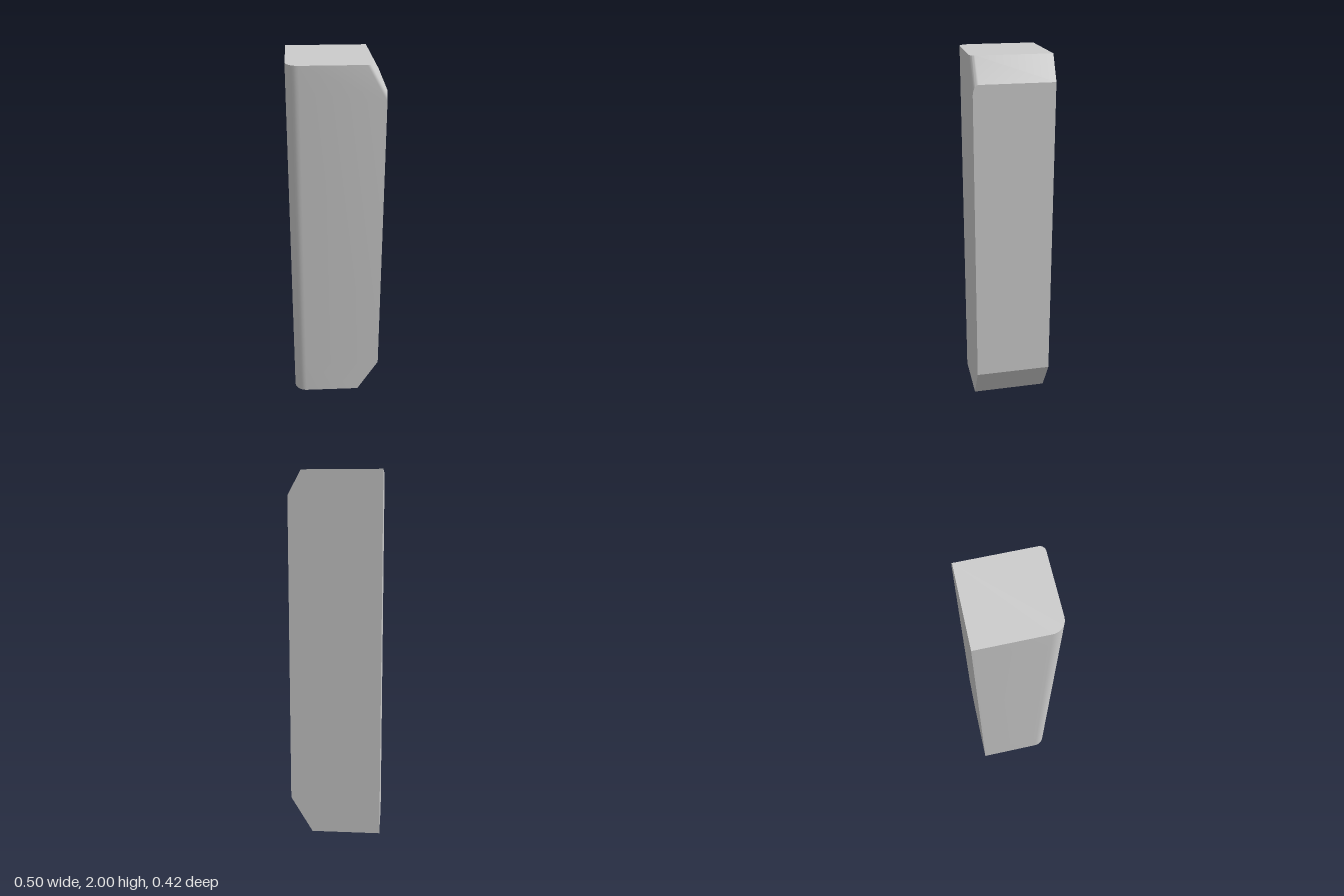
import * as THREE from 'three';
import { toCreasedNormals } from 'three/addons/utils/BufferGeometryUtils.js';

const HX = 0.25, HZ = 0.211, HEIGHT = 2;
const BOTTOM = { x: 0.13, y: 0.2 };   // lower chamfer
const TOP = { x: 0.178, y: 1.87 };    // upper chamfer
const CHAMFER_R = 0.03, SIDE_R = 0.068, SEGMENTS = 8;

// Upright column on the chamfered side; inset is its distance behind the chamfer plane
function chamferedColumn(inset, z) {
  const slope = (HEIGHT - TOP.y) / (HX - TOP.x);
  return [
    [BOTTOM.x, 0, z],
    [HX, BOTTOM.y, z],
    [HX, TOP.y - inset * slope, z],
    [TOP.x - inset, HEIGHT, z],
  ];
}

// Upright column on the plain side
const plainColumn = (x, z) => [0, BOTTOM.y, TOP.y, HEIGHT].map((y) => [x, y, z]);

function createBlockGeometry() {
  // Columns around the block: back right, front right, front left, back left
  const columns = [chamferedColumn(0, -HZ)];
  for (let i = 0; i <= SEGMENTS; i++) {
    const a = (i / SEGMENTS) * Math.PI / 2;
    columns.push(chamferedColumn(CHAMFER_R * (1 - Math.cos(a)), HZ - CHAMFER_R * (1 - Math.sin(a))));
  }
  for (let i = 0; i <= SEGMENTS; i++) {
    const a = (i / SEGMENTS) * Math.PI / 2;
    columns.push(plainColumn(-HX + SIDE_R * (1 - Math.sin(a)), HZ - SIDE_R * (1 - Math.cos(a))));
  }
  columns.push(plainColumn(-HX, -HZ));

  const positions = [];
  const triangle = (a, b, c) => positions.push(...a, ...b, ...c);
  const count = columns.length;

  // Sides
  for (let i = 0; i < count; i++) {
    const p = columns[i], q = columns[(i + 1) % count];
    for (let k = 0; k < 3; k++) {
      triangle(p[k], p[k + 1], q[k + 1]);
      triangle(p[k], q[k + 1], q[k]);
    }
  }
  // Flat ends
  for (let i = 1; i < count - 1; i++) {
    triangle(columns[0][3], columns[i + 1][3], columns[i][3]);
    triangle(columns[0][0], columns[i][0], columns[i + 1][0]);
  }

  const geometry = new THREE.BufferGeometry();
  geometry.setAttribute('position', new THREE.Float32BufferAttribute(positions, 3));
  return toCreasedNormals(geometry, 0.4);
}

export function createModel() {
  const group = new THREE.Group();
  group.name = 'chamferedBlock';
  const block = new THREE.Mesh(createBlockGeometry(), new THREE.MeshStandardMaterial({ color: 0xcccccc }));
  block.name = 'block';
  group.add(block);
  return group;
}
